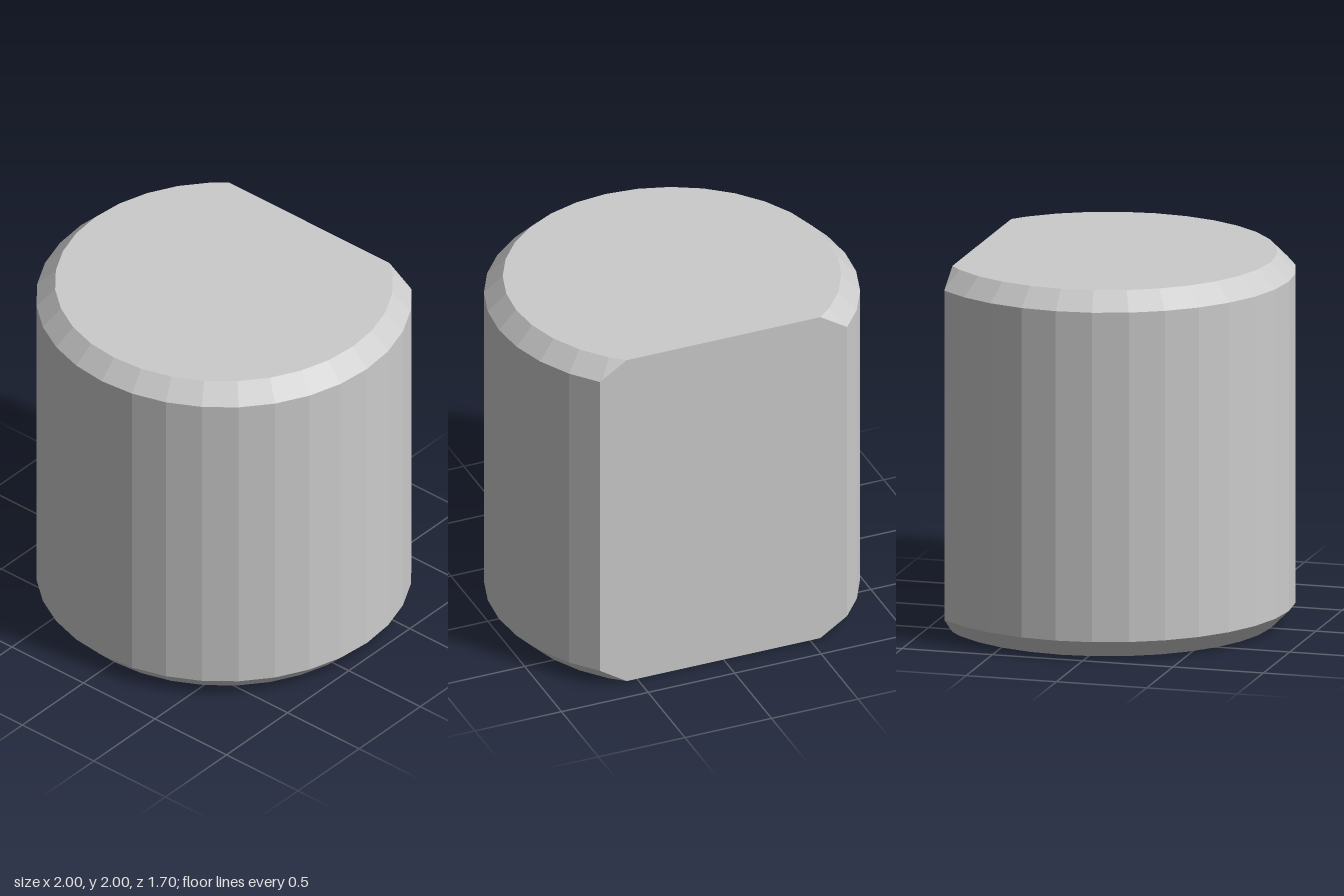
import * as THREE from 'three';
import { ConvexGeometry } from 'three/addons/geometries/ConvexGeometry.js';

const SIDES = 32;
const CUT = -0.7;       // flat back, measured from the cylinder axis
const AXIS_Z = -0.15;   // centres the cut body on z = 0

// Corners of a regular polygon of radius r, trimmed by the flat back
function trimmedRing(r, y) {
  const corner = (i) => {
    const a = (i / SIDES) * Math.PI * 2;
    return new THREE.Vector3(Math.sin(a) * r, y, Math.cos(a) * r);
  };
  const points = [];
  for (let i = 0; i < SIDES; i++) {
    const a = corner(i), b = corner(i + 1);
    if (a.z >= CUT) points.push(a);
    if ((a.z >= CUT) !== (b.z >= CUT)) {
      points.push(a.clone().lerp(b, (CUT - a.z) / (b.z - a.z)));
    }
  }
  return points;
}

export function createModel() {
  const group = new THREE.Group();
  group.name = 'flattenedCylinder';

  // Bevel rings at bottom and top
  const points = [
    ...trimmedRing(0.9, 0), ...trimmedRing(1, 0.1),
    ...trimmedRing(1, 1.9), ...trimmedRing(0.9, 2),
  ];
  // Points where the bevel's 45 degree ridges meet the flat back
  const ridge = -CUT * Math.SQRT2;
  for (const x of [CUT, -CUT]) {
    for (const y of [1 - ridge + 0.1, 1.9 + 1 - ridge]) {
      points.push(new THREE.Vector3(x, y, CUT));
    }
  }

  const geometry = new ConvexGeometry(points);
  geometry.translate(0, 0, AXIS_Z);
  const body = new THREE.Mesh(
    geometry,
    new THREE.MeshStandardMaterial({ color: 0xcccccc, flatShading: true })
  );
  body.name = 'bevelledBody';
  group.add(body);
  return group;
}
